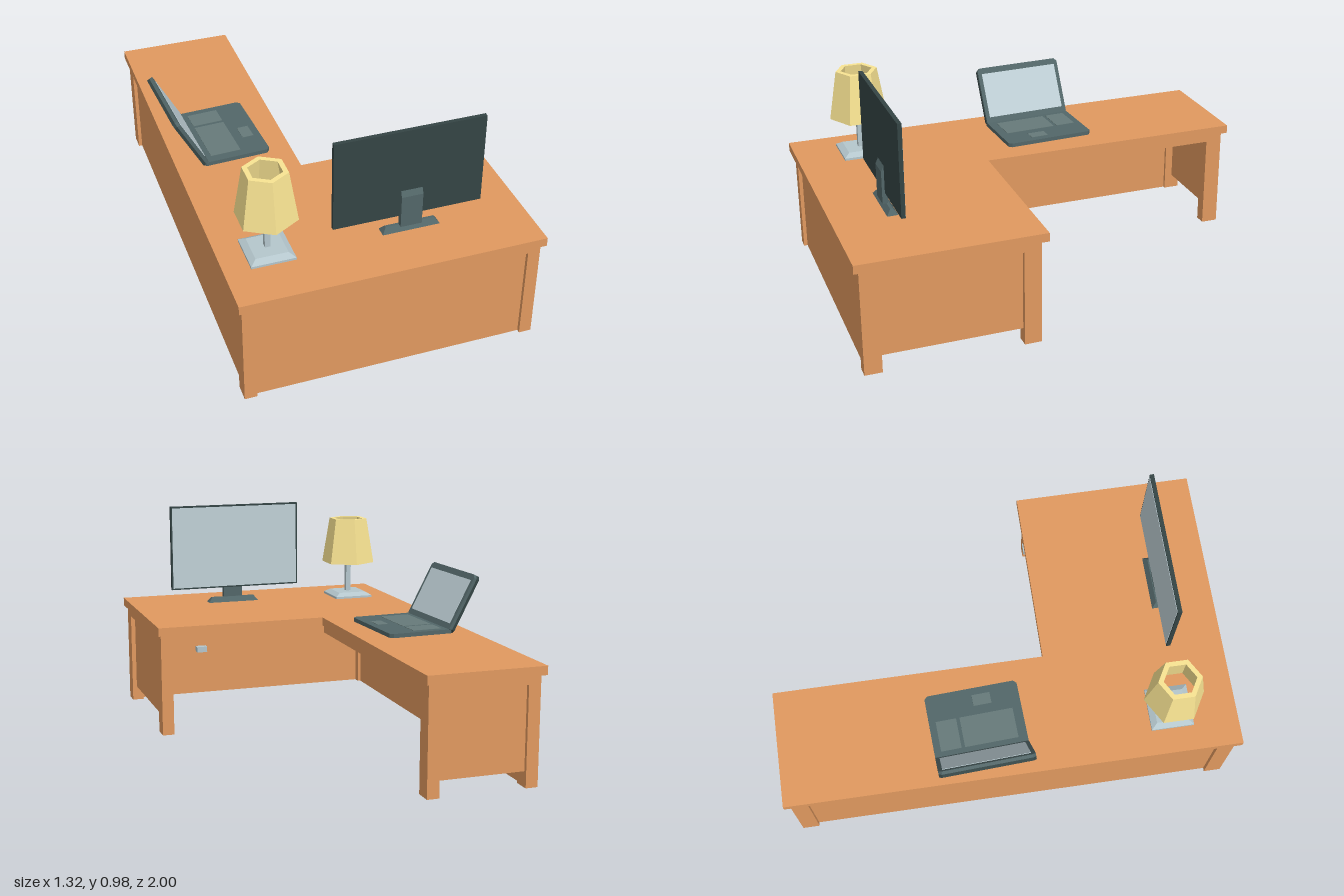
import * as THREE from 'three';

const WOOD = 0xe0995f, DARK = 0x344444, SLATE = 0x526668, GLASS = 0xbfd0d6, METAL = 0xb4c6cc, SHADE = 0xf8e392;

const mat = (color, extra = {}) => new THREE.MeshStandardMaterial({ color, flatShading: true, ...extra });

function add(parent, name, geo, color, extra) {
  const mesh = new THREE.Mesh(geo, mat(color, extra));
  mesh.name = name;
  parent.add(mesh);
  return mesh;
}

// Box given by its limits on each axis
function box(parent, name, [x0, x1], [y0, y1], [z0, z1], color) {
  const geo = new THREE.BoxGeometry(x1 - x0, y1 - y0, z1 - z0);
  geo.translate((x0 + x1) / 2, (y0 + y1) / 2, (z0 + z1) / 2);
  return add(parent, name, geo, color);
}

// Box whose top is drawn in by an inset on every side
function taperedBox(parent, name, xs, ys, zs, inset, color) {
  const mesh = box(parent, name, xs, ys, zs, color);
  const p = mesh.geometry.attributes.position;
  const mx = (xs[0] + xs[1]) / 2, mz = (zs[0] + zs[1]) / 2, my = (ys[0] + ys[1]) / 2;
  for (let i = 0; i < p.count; i++) {
    if (p.getY(i) < my) continue;
    p.setX(i, p.getX(i) - Math.sign(p.getX(i) - mx) * inset);
    p.setZ(i, p.getZ(i) - Math.sign(p.getZ(i) - mz) * inset);
  }
  mesh.geometry.computeVertexNormals();
}

// Outline given as [x, z] points, raised from y0 to y1
function plate(points, y0, y1) {
  const shape = new THREE.Shape(points.map(([x, z]) => new THREE.Vector2(x, -z)));
  const geo = new THREE.ExtrudeGeometry(shape, { depth: y1 - y0, bevelEnabled: false });
  return geo.rotateX(-Math.PI / 2).translate(0, y0, 0);
}

// L-shaped plate: main part in front, narrow wing running back on the -x side
const ellPlate = (x0, x1, xInner, zEnd, zInner, y0, y1) => plate(
  [[x0, zEnd], [x1, zEnd], [x1, zInner], [xInner, zInner], [xInner, -zEnd], [x0, -zEnd]], y0, y1);

// Plate with chamfered corners
const slab = (x0, x1, h, y0, y1, c) => plate(
  [[x0 + c, h], [x1 - c, h], [x1, h - c], [x1, c - h], [x1 - c, -h], [x0 + c, -h], [x0, c - h], [x0, h - c]], y0, y1);

function makeDesk() {
  const desk = new THREE.Group();
  desk.name = 'desk';

  // Top with a slightly smaller solid layer below it
  add(desk, 'desktop', ellPlate(-0.63, 0.657, -0.115, 1, 0.2, 0.465, 0.503), WOOD);
  add(desk, 'underTop', ellPlate(-0.614, 0.642, -0.132, 0.978, 0.227, 0.426, 0.465), WOOD);

  // Legs, by lower x and z corner
  const legs = [[-0.614, 0.903], [0.589, 0.903], [0.589, 0.227], [-0.614, -0.978], [-0.185, -0.978]];
  for (const [x, z] of legs) box(desk, 'leg', [x, x + 0.053], [0, 0.426], [z, z + 0.075], WOOD);

  // Recessed panels
  box(desk, 'frontPanel', [-0.562, 0.589], [0, 0.426], [0.94, 0.962], WOOD);
  box(desk, 'rightPanel', [-0.598, -0.575], [0, 0.426], [-0.903, 0.903], WOOD);
  box(desk, 'leftPanel', [0.6, 0.622], [0.067, 0.426], [0.302, 0.903], WOOD);
  box(desk, 'endPanel', [-0.562, -0.185], [0.067, 0.426], [-0.962, -0.94], WOOD);

  // Drawer and pull
  box(desk, 'drawer', [0.305, 0.589], [0.32, 0.426], [0.229, 0.6], WOOD);
  box(desk, 'drawerPull', [0.436, 0.482], [0.38, 0.405], [0.2, 0.23], METAL);
  return desk;
}

function makeLamp() {
  const lamp = new THREE.Group();
  lamp.name = 'lamp';
  box(lamp, 'lampFoot', [-0.093, 0.093], [0, 0.01], [-0.093, 0.093], METAL);
  taperedBox(lamp, 'lampBase', [-0.093, 0.093], [0.01, 0.026], [-0.093, 0.093], 0.025, METAL);
  box(lamp, 'lampPole', [-0.012, 0.012], [0.026, 0.21], [-0.012, 0.012], METAL);
  // Hollow six-sided shade
  const profile = [[0.11, 0.172], [0.13, 0.172], [0.093, 0.391], [0.07, 0.391], [0.11, 0.172]];
  const shade = new THREE.LatheGeometry(profile.map(([r, y]) => new THREE.Vector2(r, y)), 6);
  add(lamp, 'lampShade', shade, SHADE, { side: THREE.DoubleSide });
  lamp.position.set(-0.428, 0.503, 0.709);
  return lamp;
}

function makeMonitor() {
  const monitor = new THREE.Group();
  monitor.name = 'monitor';
  taperedBox(monitor, 'monitorBase', [0.04, 0.287], [0.503, 0.527], [0.722, 0.77], 0.018, SLATE);
  box(monitor, 'monitorNeck', [0.116, 0.208], [0.525, 0.67], [0.744, 0.768], SLATE);
  // Cap sloping from the neck back to the housing
  const cap = box(monitor, 'neckCap', [0.116, 0.208], [0.67, 0.695], [0.744, 0.768], SLATE);
  const p = cap.geometry.attributes.position;
  for (let i = 0; i < p.count; i++) if (p.getY(i) > 0.69 && p.getZ(i) > 0.76) p.setZ(i, 0.757);
  cap.geometry.computeVertexNormals();
  box(monitor, 'monitorHousing', [-0.169, 0.469], [0.574, 0.978], [0.738, 0.756], DARK);
  box(monitor, 'monitorScreen', [-0.162, 0.462], [0.581, 0.971], [0.736, 0.74], GLASS);
  return monitor;
}

function makeLaptop() {
  const laptop = new THREE.Group();
  laptop.name = 'laptop';
  add(laptop, 'laptopBase', slab(-0.015, 0.287, 0.205, 0.003, 0.021, 0.014), SLATE);
  // Keys and touchpad
  const KEY = 0x667a79;
  box(laptop, 'keyboard', [0.03, 0.165], [0.02, 0.0225], [-0.175, -0.085], KEY);
  box(laptop, 'keyboard', [0.03, 0.165], [0.02, 0.0225], [-0.07, 0.165], KEY);
  box(laptop, 'touchpad', [0.205, 0.255], [0.02, 0.0225], [0.0, 0.08], KEY);

  // Leaning lid, built lying flat along +x with the display on its lower side
  const lid = new THREE.Group();
  lid.name = 'laptopLid';
  add(lid, 'lidShell', slab(0, 0.274, 0.205, 0.011, 0.024, 0.014), DARK);
  add(lid, 'lidBezel', slab(0, 0.274, 0.205, -0.003, 0.011, 0.014), SLATE);
  box(lid, 'laptopScreen', [0.036, 0.246], [-0.005, 0], [-0.187, 0.187], GLASS);
  lid.rotation.z = Math.PI / 2 + 0.49;
  lid.position.set(0.01, 0.01, 0);
  laptop.add(lid);

  laptop.position.set(-0.51, 0.503, -0.125);
  laptop.rotation.y = 0.05;
  return laptop;
}

export function createModel() {
  const model = new THREE.Group();
  model.name = 'officeDesk';
  model.add(makeDesk(), makeLamp(), makeMonitor(), makeLaptop());
  return model;
}
